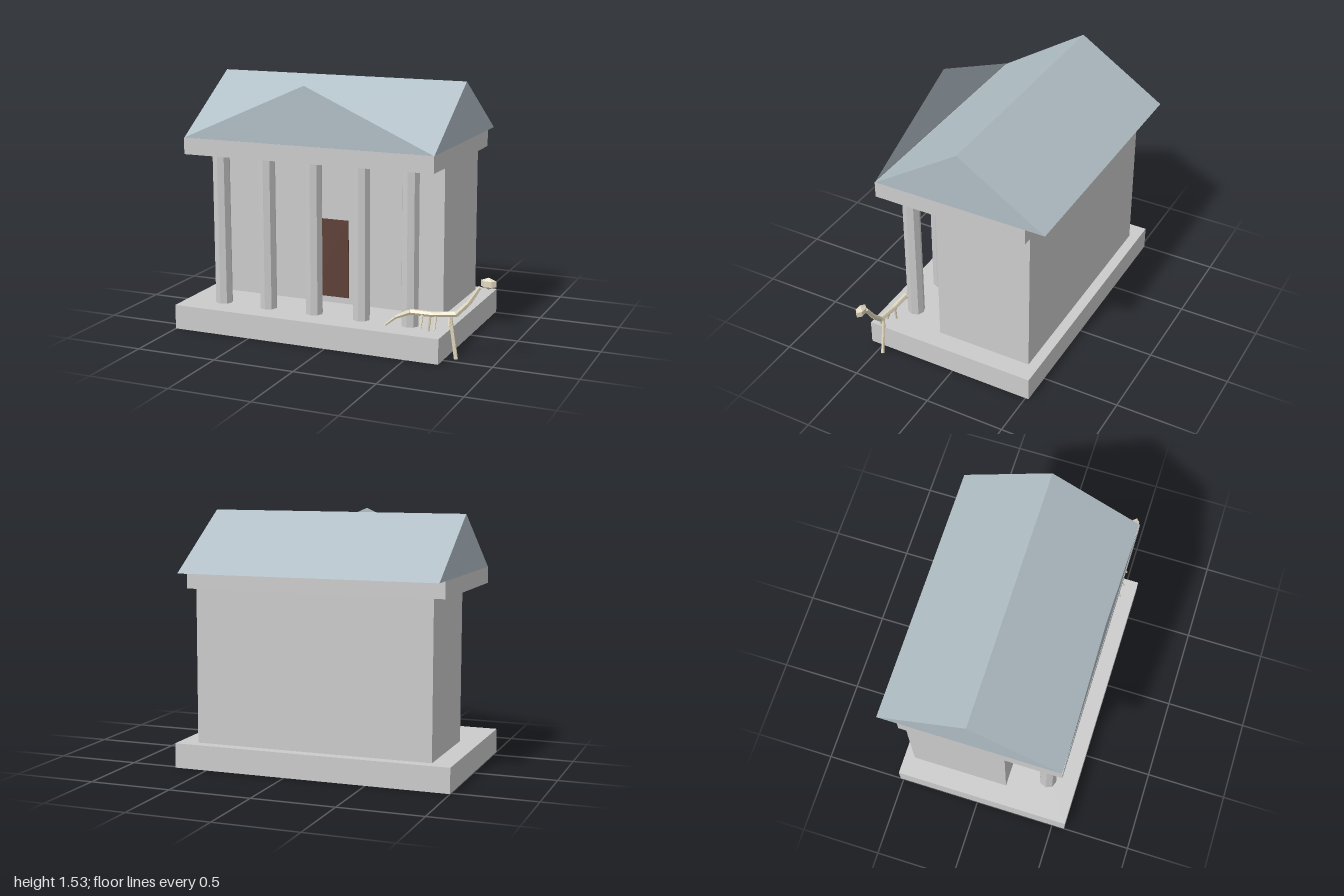
import * as THREE from 'three';

const mat = (color, extra = {}) => new THREE.MeshStandardMaterial({ color, flatShading: true, ...extra });

export function createModel() {
  const model = new THREE.Group();
  const stone = mat(0xcccccc);
  const roofMat = mat(0xb0bec5, { side: THREE.DoubleSide });
  const doorMat = mat(0x5d4037);
  const boneMat = mat(0xe3dac0);

  const add = (name, geometry, material, parent = model) => {
    const mesh = new THREE.Mesh(geometry, material);
    mesh.name = name;
    parent.add(mesh);
    return mesh;
  };
  // Box given by its limits on each axis
  const box = (name, [x0, x1], [y0, y1], [z0, z1], material) =>
    add(name, new THREE.BoxGeometry(x1 - x0, y1 - y0, z1 - z0), material)
      .position.set((x0 + x1) / 2, (y0 + y1) / 2, (z0 + z1) / 2);

  // Temple body
  box('base', [-1, 0.705], [0, 0.15], [-0.52, 0.58], stone);
  box('hall', [-0.875, 0.583], [0.15, 1.08], [-0.455, 0.155], stone);
  box('entablature', [-0.94, 0.645], [1.08, 1.18], [-0.455, 0.52], stone);
  box('door', [-0.268, -0.028], [0.19, 0.675], [0.15, 0.163], doorMat);

  // Portico columns
  for (let i = 0; i < 5; i++) {
    add('column', new THREE.CylinderGeometry(0.053, 0.053, 0.93, 8), stone)
      .position.set(-0.758 + i * 0.3055, 0.615, 0.398);
  }

  // Gabled roof with its ridge along x
  const gable = new THREE.Shape([[-0.515, 1.18], [0.578, 1.18], [0.03, 1.53]].map(p => new THREE.Vector2(...p)));
  const roof = new THREE.ExtrudeGeometry(gable, { depth: 1.585, bevelEnabled: false });
  roof.rotateY(Math.PI / 2).translate(-0.94, 0, 0);
  add('roof', roof, roofMat);

  // Thin upright pediment above the front edge
  const pediment = new THREE.Shape([[-0.94, 1.18], [0.645, 1.18], [-0.147, 1.53]].map(p => new THREE.Vector2(...p)));
  add('pediment', new THREE.ShapeGeometry(pediment), roofMat).position.z = 0.518;

  // Slender animal leaning off the steps
  const animal = new THREE.Group();
  animal.name = 'animal';
  model.add(animal);
  const bone = (name, from, to, r0, r1) => {
    const a = new THREE.Vector3(...from), b = new THREE.Vector3(...to);
    const dir = b.clone().sub(a);
    const mesh = add(name, new THREE.CylinderGeometry(r1, r0, dir.length(), 6), boneMat, animal);
    mesh.position.copy(a).add(b).multiplyScalar(0.5);
    mesh.quaternion.setFromUnitVectors(new THREE.Vector3(0, 1, 0), dir.normalize());
  };

  // Tail, spine and neck as one chain of [x, y, radius]
  const chain = [[0.335, 0.155, 0.007], [0.4, 0.21, 0.011], [0.49, 0.252, 0.018],
    [0.63, 0.253, 0.016], [0.77, 0.272, 0.018], [0.84, 0.345, 0.016], [0.905, 0.445, 0.011]];
  const names = ['tail', 'tail', 'spine', 'spine', 'neck', 'neck'];
  names.forEach((name, i) => {
    const [x0, y0, r0] = chain[i], [x1, y1, r1] = chain[i + 1];
    bone(name, [x0, y0, 0.46], [x1, y1, 0.46], r0, r1);
  });

  // Legs
  bone('frontLeg', [0.737, 0.225, 0.46], [0.77, 0.005, 0.46], 0.011, 0.012);
  bone('upperFrontLeg', [0.735, 0.26, 0.46], [0.737, 0.22, 0.46], 0.011, 0.009);
  bone('hindLeg', [0.61, 0.24, 0.46], [0.6, 0.15, 0.46], 0.009, 0.007);
  for (const x of [0.565, 0.648]) {
    bone('sideLeg', [x, 0.245, 0.468], [x, 0.172, 0.495], 0.008, 0.006);
  }
  bone('sideLeg', [0.732, 0.25, 0.468], [0.734, 0.2, 0.488], 0.008, 0.006);

  // Faceted head
  const head = add('head', new THREE.SphereGeometry(1, 6, 3), boneMat, animal);
  head.scale.set(0.052, 0.034, 0.03);
  head.position.set(0.955, 0.472, 0.46);

  return model;
}
